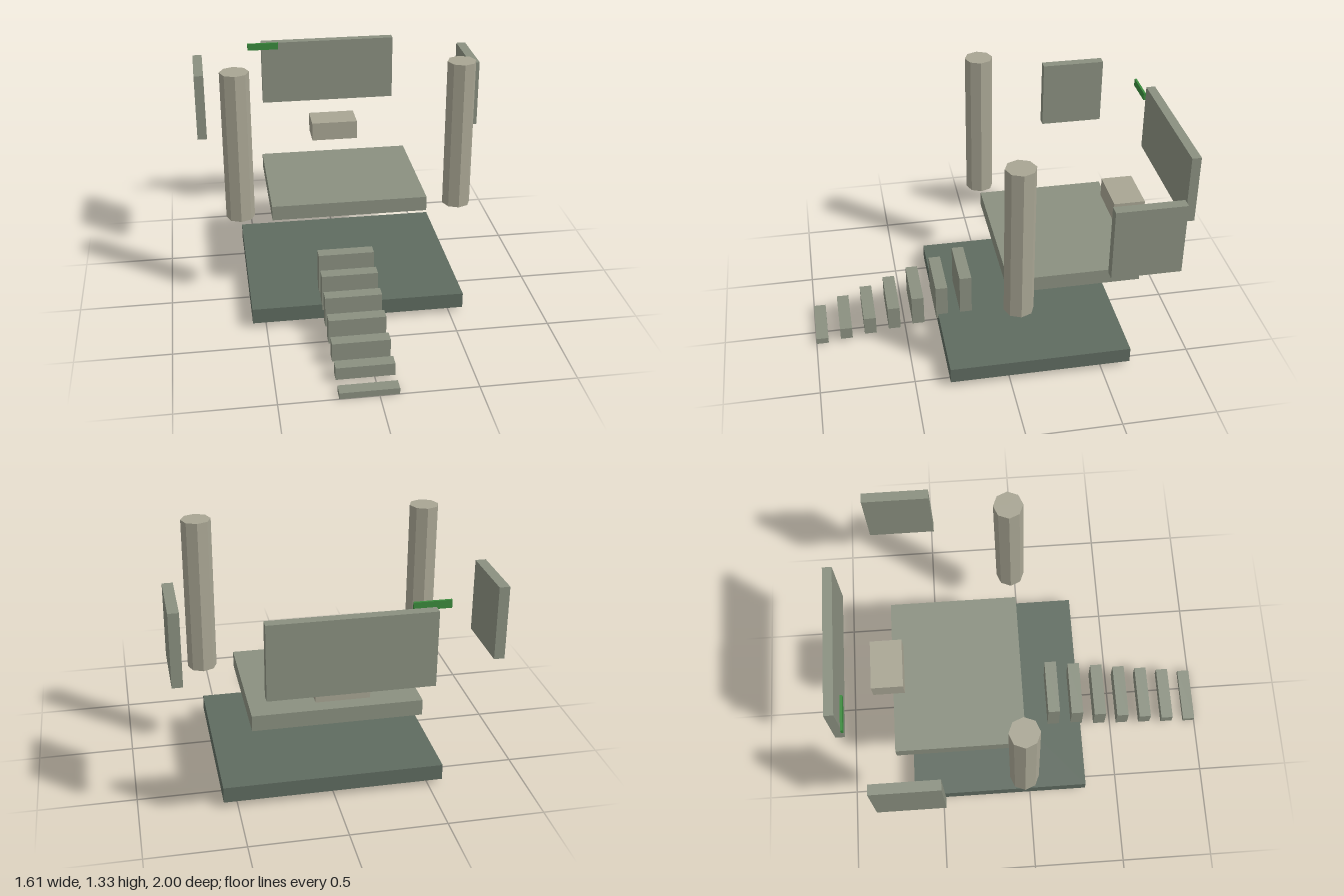
import * as THREE from 'three';

const paint = (color) => new THREE.MeshStandardMaterial({ color, flatShading: true });

export function createModel() {
  const model = new THREE.Group();
  model.name = 'ruinedTemple';
  const stone = paint(0x8a9080);
  const paleStone = paint(0xa8a593);
  const darkStone = paint(0x5f6b60);
  const green = paint(0x3a8a3c);

  // Box given by its lower and upper limits on each axis
  const block = (name, material, [x0, x1], [y0, y1], [z0, z1]) => {
    const mesh = new THREE.Mesh(new THREE.BoxGeometry(x1 - x0, y1 - y0, z1 - z0), material);
    mesh.position.set((x0 + x1) / 2, (y0 + y1) / 2, (z0 + z1) / 2);
    mesh.name = name;
    model.add(mesh);
  };

  // Platforms and altar
  block('base', darkStone, [-0.572, 0.572], [0.03, 0.115], [-0.655, 0.318]);
  block('upperPlatform', stone, [-0.427, 0.427], [0.468, 0.55], [-0.717, -0.013]);
  block('altar', paleStone, [-0.133, 0.133], [0.65, 0.758], [-0.815, -0.645]);

  // Walls and the moss strip
  const wallHeight = [0.785, 1.163];
  block('backWall', stone, [-0.398, 0.395], wallHeight, [-1, -0.95]);
  block('leftWall', stone, [0.752, 0.805], wallHeight, [-0.795, -0.443]);
  block('rightWall', stone, [-0.805, -0.752], wallHeight, [-0.795, -0.443]);
  block('mossStrip', green, [-0.482, -0.3], [1.137, 1.177], [-0.917, -0.905]);

  // Steps grow taller toward the base
  for (let i = 0; i < 7; i++) {
    const bottom = i * 0.0175;
    const z = 0.967 - i * 0.1342;
    block('step' + (i + 1), stone, [-0.2, 0.1], [bottom, bottom + 0.034 * (i + 1)], [z - 0.033, z + 0.033]);
  }

  // Eight-sided pillars
  for (const side of [-1, 1]) {
    const pillar = new THREE.Mesh(new THREE.CylinderGeometry(0.077, 0.077, 0.827, 8), paleStone);
    pillar.position.set(side * 0.597, 0.9135, -0.034);
    pillar.name = side > 0 ? 'leftPillar' : 'rightPillar';
    model.add(pillar);
  }
  return model;
}
